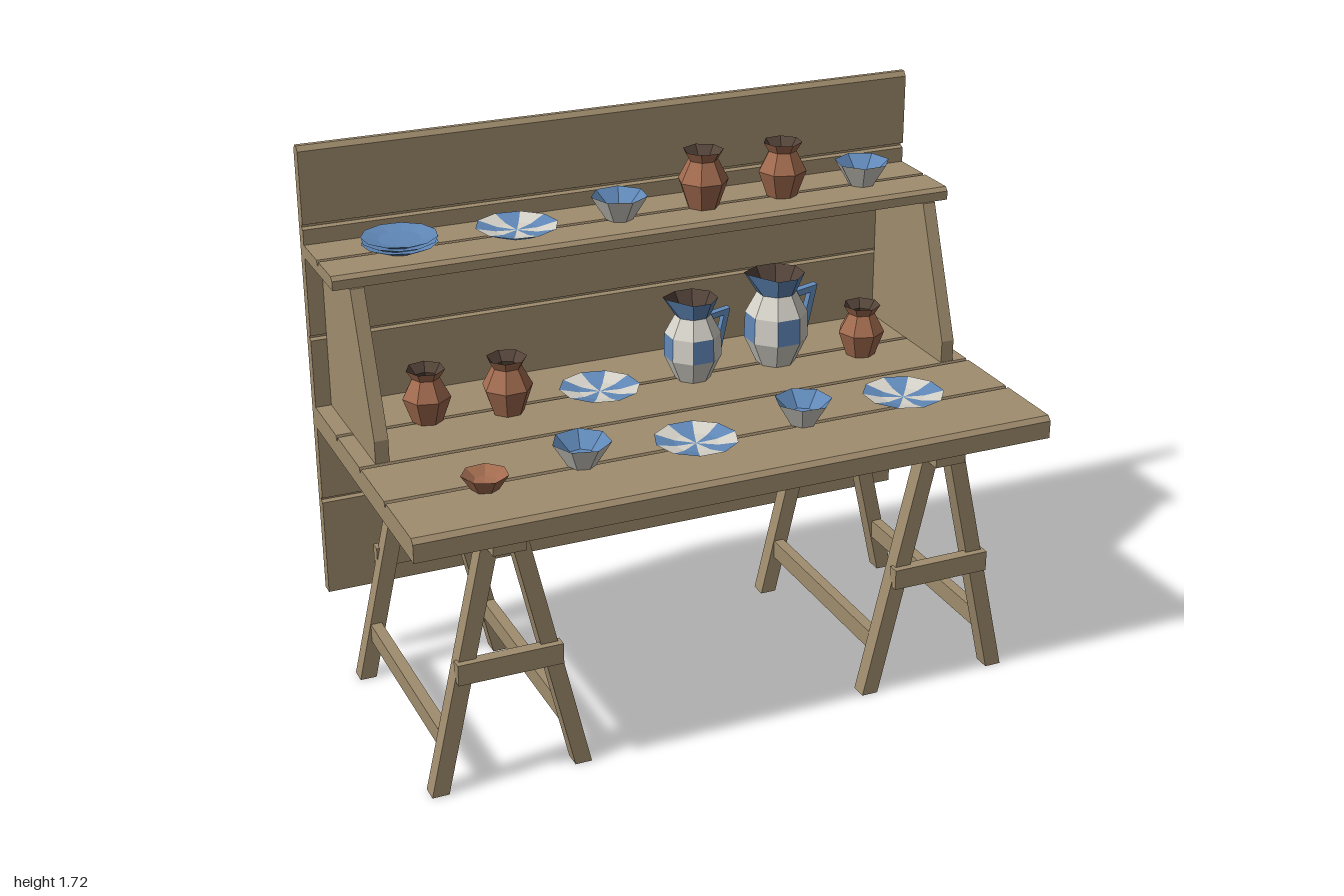
import * as THREE from 'three';

const paint = (name, color) => {
  const m = new THREE.MeshStandardMaterial({ color });
  m.name = name;
  return m;
};

export function createModel() {
  const wood = paint('wood', 0xa08d6e);
  const white = paint('white glaze', 0xd6d3ca);
  const blue = paint('blue glaze', 0x6088b8);
  const clay = paint('clay', 0xa36c50);
  const dark = paint('dark inside', 0x54443a);
  const root = new THREE.Group();
  root.name = 'potteryStall';

  const add = (parent, name, geo, mat, x = 0, y = 0, z = 0) => {
    const mesh = new THREE.Mesh(geo, mat);
    mesh.name = name;
    mesh.position.set(x, y, z);
    parent.add(mesh);
    return mesh;
  };
  const extrude = (pts, depth) => {
    const shape = new THREE.Shape(pts.map(([x, y]) => new THREE.Vector2(x, y)));
    return new THREE.ExtrudeGeometry(shape, { depth, bevelEnabled: false }).translate(0, 0, -depth / 2);
  };
  // outline given as [z, y], drawn out along x
  const alongX = (pts, width) => extrude(pts, width).rotateY(-Math.PI / 2);
  const box = (w, h, d) => new THREE.BoxGeometry(w, h, d);

  // Boarded surfaces with V grooves between planks
  const G = 0.008;
  const boards = (z0, z1, y0, y1, grooves, c) => [
    [z0, y0], [z1, y0], [z1, y1 - c], [z1 - c, y1],
    ...grooves.flatMap(g => [[g + G, y1], [g + 0.003, y1 - 0.014], [g - 0.003, y1 - 0.014], [g - G, y1]]),
    [z0, y1],
  ];
  add(root, 'tableTop', alongX(boards(-0.46, 0.5, 0.83, 0.9, [0.25, 0.01, -0.23], 0.014), 2), wood);
  add(root, 'shelf', alongX(boards(-0.46, -0.165, 1.38, 1.42, [-0.315], 0.012), 2), wood);
  const zf = -0.46;
  add(root, 'backPanel', alongX([
    [-0.5, 0.265], [zf, 0.265],
    ...[0.585, 1.125, 1.475].flatMap(g => [[zf, g - G], [zf - 0.014, g - 0.003], [zf - 0.014, g + 0.003], [zf, g + G]]),
    [zf, 1.705], [zf - 0.012, 1.72], [-0.488, 1.72], [-0.5, 1.705],
  ], 2), wood);

  // Shelf sides
  for (const s of [-1, 1]) {
    add(root, 'shelfSide', alongX([[-0.46, 0.9], [0, 0.9], [0, 0.97], [-0.157, 1.38], [-0.46, 1.38]], 0.042), wood, s * 0.93);
  }

  // Trestles
  for (const side of [-1, 1]) {
    const trestle = new THREE.Group();
    trestle.name = 'trestle';
    trestle.position.x = side * 0.702;
    root.add(trestle);
    add(trestle, 'topBeam', box(0.1, 0.065, 0.86), wood, 0, 0.7975);
    for (const s of [-1, 1]) {
      const leg = s < 0
        ? [[-0.248, 0], [-0.196, 0], [-0.007, 0.83], [-0.059, 0.83]]
        : [[0.196, 0], [0.248, 0], [0.059, 0.83], [0.007, 0.83]];
      for (const z of [-0.362, 0.362]) add(trestle, 'leg', extrude(leg, 0.053), wood, 0, 0, z);
      add(trestle, 'lowerRail', box(0.035, 0.06, 0.68), wood, s * 0.186, 0.16, 0);
      const t = 0.0365; // crossbar leans out with the slope of the legs
      add(trestle, 'crossbar', extrude([[-0.16, 0.365], [0.16, 0.365], [0.16, 0.43], [-0.16, 0.43]], t), wood, 0, 0, s * 0.391);
    }
  }

  // Faceted turned pottery; pick(side, ring) returns a material index
  const turned = (name, profile, sides, mats, pick, x, y, z, turn = 0, parent = root) => {
    const pts = profile.map(([r, h]) => new THREE.Vector2(r, h));
    const geo = new THREE.LatheGeometry(pts, sides, turn);
    const rings = pts.length - 1;
    for (let i = 0; i < sides; i++)
      for (let j = 0; j < rings; j++) geo.addGroup((i * rings + j) * 6, 6, pick(i, j));
    const flat = geo.toNonIndexed();
    flat.computeVertexNormals();
    return add(parent, name, flat, mats, x, y, z);
  };

  const pot = (x, y, z, s, turn) => turned('pot',
    [[0, 0], [0.05, 0], [0.08, 0.085], [0.046, 0.15], [0.064, 0.18], [0.04, 0.15], [0.06, 0.085], [0.04, 0.015], [0, 0.015]]
      .map(([r, h]) => [r * s, h * s]),
    7, [clay, dark], (i, j) => (j < 4 ? 0 : 1), x, y, z, turn);
  const bowl = (x, y, z, turn) => turned('bowl',
    [[0, 0], [0.042, 0], [0.088, 0.075], [0.04, 0.03], [0, 0.026]],
    7, [white, blue], (i, j) => (j < 2 ? 0 : 1), x, y, z, turn);
  const plate = (x, y, z, turn) => turned('stripedPlate',
    [[0, 0], [0.065, 0], [0.126, 0.026], [0.065, 0.012], [0, 0.01]],
    10, [blue, white], (i, j) => (j < 2 ? 0 : i % 2), x, y, z, turn);

  // Wares on the shelf
  const S = 1.42, T = 0.9;
  for (let k = 0; k < 3; k++) {
    turned('stackedPlate', [[0, 0], [0.065, 0], [0.114, 0.022], [0.065, 0.012], [0, 0.01]],
      11, [blue], () => 0, -0.75, S + k * 0.01, -0.32, k * 0.25);
  }
  plate(-0.39, S, -0.31, 0.2);
  bowl(-0.06, S, -0.31, 0.1);
  pot(0.22, S, -0.315, 1, 0.4);
  pot(0.49, S, -0.315, 0.96, 0.1);
  bowl(0.77, S, -0.31, 0.5);

  // Wares on the table
  pot(-0.718, T, -0.235, 0.93, 0.2);
  pot(-0.475, T, -0.2, 0.98, 0.5);
  pot(0.712, T, -0.175, 0.93, 0.1);
  plate(-0.175, T, -0.205, 0.1);
  plate(-0.06, T, 0.26, 0.3);
  plate(0.655, T, 0.21, 0);
  bowl(-0.41, T, 0.24, 0.2);
  bowl(0.3, T, 0.235, 0.4);
  turned('clayBowl', [[0, 0], [0.04, 0], [0.07, 0.045], [0.035, 0.022], [0, 0.018]],
    7, [clay], () => 0, -0.715, T, 0.275, 0.1);

  // Jugs with a pinched spout and an angular handle
  const jug = (x, z, s) => {
    const group = new THREE.Group();
    group.name = 'jug';
    group.position.set(x, T, z);
    group.scale.setScalar(s);
    root.add(group);
    const body = turned('jugBody',
      [[0, 0], [0.055, 0], [0.09, 0.075], [0.088, 0.15], [0.056, 0.21], [0.078, 0.265], [0.048, 0.21], [0.07, 0.14], [0.045, 0.02], [0, 0.02]],
      8, [white, blue, dark],
      (i, j) => (j > 4 ? 2 : j === 4 ? 1 : j === 2 && i % 2 === 0 ? 1 : 0), 0, 0, 0, -Math.PI / 8, group);
    const p = body.geometry.attributes.position;
    for (let i = 0; i < p.count; i++) {
      if (p.getY(i) > 0.25 && p.getX(i) < -0.06) {
        p.setXYZ(i, p.getX(i) - 0.025, p.getY(i) + 0.012, p.getZ(i) * 0.35);
      }
    }
    body.geometry.computeVertexNormals();
    add(group, 'jugHandle', extrude(
      [[0.05, 0.185], [0.101, 0.195], [0.076, 0.09], [0.09, 0.07], [0.122, 0.216], [0.05, 0.204]], 0.024), blue);
  };
  jug(0.142, -0.215, 1);
  jug(0.437, -0.23, 1.12);

  return root;
}
